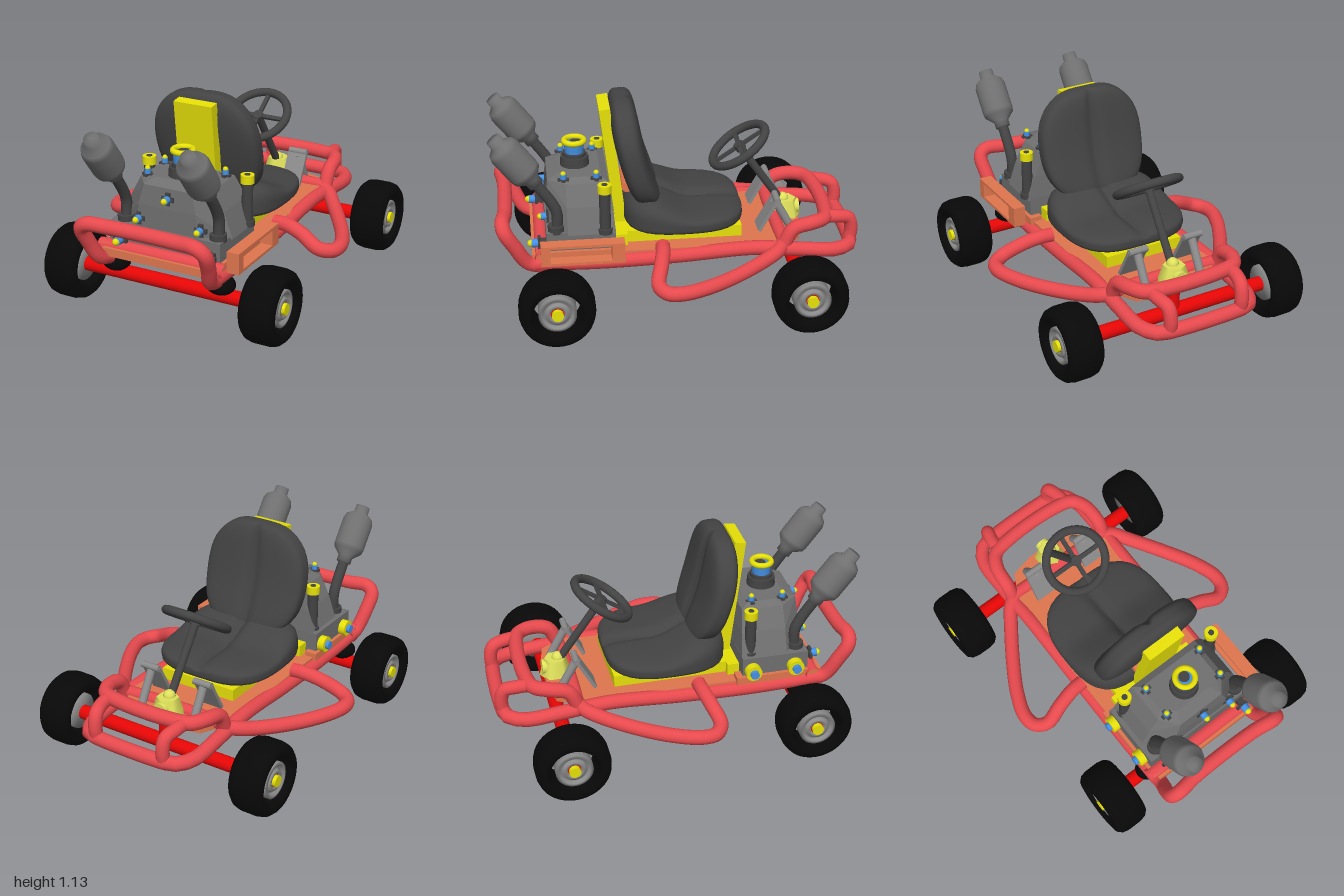
import * as THREE from 'three';
import { ConvexGeometry } from 'three/addons/geometries/ConvexGeometry.js';

const mat = (name, color) => {
  const m = new THREE.MeshStandardMaterial({ color });
  m.name = name;
  return m;
};
const V = (x, y, z) => new THREE.Vector3(x, y, z);

export function createModel() {
  const root = new THREE.Group();
  root.name = 'kart';
  const frameRed = mat('frame red', 0xe84a4e), axleRed = mat('axle red', 0xea0606);
  const black = mat('tyre black', 0x080808), grey = mat('engine grey', 0x707070);
  const dark = mat('dark grey', 0x434343), yellow = mat('yellow', 0xe8e208);
  const blue = mat('blue', 0x4592e8), orange = mat('deck orange', 0xe0764e);
  const pale = mat('pale yellow', 0xe0e25c), light = mat('light grey', 0x8a8a8a);

  const add = (name, geo, m, pos = [0, 0, 0], parent = root) => {
    const mesh = new THREE.Mesh(geo, m);
    mesh.name = name;
    mesh.position.set(...pos);
    parent.add(mesh);
    return mesh;
  };
  const box = (name, m, size, pos, parent) => add(name, new THREE.BoxGeometry(...size), m, pos, parent);
  const cyl = (name, m, r, h, pos, parent, r2 = r) =>
    add(name, new THREE.CylinderGeometry(r2, r, h, 20), m, pos, parent);
  // straight rod between two points
  const rod = (name, m, a, b, r) => {
    const d = b.clone().sub(a);
    const mesh = cyl(name, m, r, d.length(), a.clone().add(b).multiplyScalar(0.5).toArray());
    mesh.quaternion.setFromUnitVectors(V(0, 1, 0), d.normalize());
    return mesh;
  };
  // bent tube through points
  const tube = (name, m, pts, r = 0.04) => add(name, new THREE.TubeGeometry(
    new THREE.CatmullRomCurve3(pts.map(p => V(...p)), false, 'centripetal'), 72, r, 12), m);
  // half path along +x, mirrored into one continuous path
  const mirrored = half => [...half, ...half.slice().reverse().map(([x, y, z]) => [-x, y, z])];
  const flat = pts => pts.map(p => new THREE.Vector2(...p));
  const lathe = (pts, seg = 28) => new THREE.LatheGeometry(flat(pts), seg);

  // ---- wheels and axles
  const tyre = lathe([[0.13, -0.085], [0.15, -0.1], [0.175, -0.096], [0.194, -0.075], [0.202, -0.04],
    [0.202, 0.04], [0.194, 0.075], [0.175, 0.096], [0.15, 0.1], [0.13, 0.085], [0.122, 0], [0.13, -0.085]], 40);
  const hub = lathe([[0, -0.06], [0.1, -0.06], [0.1, 0.075], [0.082, 0.08], [0.076, 0.06],
    [0.062, 0.06], [0.056, 0.078], [0.04, 0.078], [0.036, 0.065], [0, 0.065]], 32);
  for (const [x, z, name] of [[0.62, -0.66, 'steeredWheelLeft'], [-0.62, -0.66, 'steeredWheelRight'],
    [0.6, 0.68, 'driveWheelLeft'], [-0.567, 0.68, 'driveWheelRight']]) {
    const w = new THREE.Group();
    w.name = name;
    w.position.set(x, 0.21, z);
    w.rotation.z = -Math.sign(x) * Math.PI / 2;
    root.add(w);
    add('tyre', tyre, black, [0, 0, 0], w);
    add('hub', hub, light, [0, 0, 0], w);
    cyl('hubNutBase', axleRed, 0.035, 0.01, [0, 0.064, 0], w);
    cyl('hubNut', yellow, 0.031, 0.03, [0, 0.077, 0], w);
  }
  rod('steeredAxle', axleRed, V(-0.6, 0.2, -0.65), V(0.6, 0.2, -0.65), 0.04);
  rod('driveAxle', axleRed, V(-0.55, 0.2, 0.67), V(0.58, 0.2, 0.67), 0.04);
  rod('axlePost', axleRed, V(0, 0.2, -0.65), V(0, 0.35, -0.65), 0.034);
  for (const s of [1, -1])
    add('axleBearing', new THREE.SphereGeometry(1, 20, 14), black, [s * 0.315, 0.265, 0.68]).scale.set(0.08, 0.055, 0.07);

  // ---- floor and engine tray
  const floor = new THREE.Shape(flat([[-0.33, -0.68], [0.33, -0.68], [0.33, 0.5], [0.24, 0.67], [0.1, 0.7],
    [-0.1, 0.7], [-0.24, 0.67], [-0.33, 0.5]]));
  add('floorPan', new THREE.ExtrudeGeometry(floor, { depth: 0.035, bevelEnabled: false }).rotateX(-Math.PI / 2),
    orange, [0, 0.34, 0]);
  box('trayEndBar', orange, [0.66, 0.045, 0.07], [0, 0.36, 0.76]);
  for (const s of [1, -1]) box('traySideBar', orange, [0.07, 0.06, 0.46], [s * 0.315, 0.37, 0.54]);
  const side = new THREE.Shape(flat([[0.305, 0.375], [0.75, 0.375], [0.75, 0.49], [0.305, 0.49]]));
  side.holes.push(new THREE.Path(flat([[0.375, 0.39], [0.375, 0.475], [0.7, 0.475], [0.7, 0.39]])));
  add('sideBoxFrame', new THREE.ExtrudeGeometry(side, { depth: 0.07, bevelEnabled: false }).rotateY(-Math.PI / 2),
    orange, [0.455, 0, 0]);

  // ---- tubular frame
  tube('mainLoop', frameRed, mirrored([[0.33, 0.33, 0.78], [0.33, 0.32, 0.4], [0.33, 0.33, 0],
    [0.33, 0.35, -0.4], [0.335, 0.33, -0.65], [0.325, 0.31, -0.86], [0.27, 0.31, -0.945], [0.2, 0.31, -0.96]]));
  tube('engineBumper', frameRed, mirrored([[0.32, 0.31, 0.74], [0.33, 0.34, 0.82], [0.355, 0.45, 0.885],
    [0.36, 0.54, 0.935], [0.32, 0.572, 0.945], [0.2, 0.572, 0.93]]));
  tube('engineCrossBar', frameRed, mirrored([[0.37, 0.37, 0.74], [0.2, 0.375, 0.74]]));
  tube('pedalCrossBar', frameRed, mirrored([[0.34, 0.37, -0.57], [0.15, 0.375, -0.565]]), 0.036);
  tube('pedalUpperHoop', frameRed, mirrored([[0.325, 0.36, -0.57], [0.325, 0.45, -0.62],
    [0.315, 0.475, -0.72], [0.27, 0.475, -0.795], [0.14, 0.475, -0.825]]));
  for (const s of [1, -1]) {
    const side = (name, pts, r) => tube(name, frameRed, pts.map(([x, y, z]) => [s * x, y, z]), r);
    side('bumperLink', [[0.24, 0.47, -0.8], [0.235, 0.465, -0.88], [0.22, 0.445, -0.945],
      [0.215, 0.38, -0.965], [0.215, 0.3, -0.955]], 0.037);
    side('sideBumper', [[0.31, 0.36, -0.57], [0.37, 0.345, -0.53], [0.43, 0.325, -0.45],
      [0.55, 0.305, -0.27], [0.645, 0.3, -0.1], [0.688, 0.3, 0.03], [0.675, 0.3, 0.105], [0.615, 0.315, 0.145],
      [0.5, 0.37, 0.12], [0.4, 0.395, 0.1], [0.33, 0.395, 0.095]]);
  }

  // ---- seat: rounded blocks shaped by a rule
  const pad = (name, n, rule) => {
    const g = new THREE.SphereGeometry(1, 48, 32), p = g.attributes.position;
    for (let i = 0; i < p.count; i++) {
      const v = V(0, 0, 0).fromBufferAttribute(p, i);
      v.divideScalar((Math.abs(v.x) ** n + Math.abs(v.y) ** n + Math.abs(v.z) ** n) ** (1 / n));
      p.setXYZ(i, ...rule(v.x, v.y, v.z));
    }
    g.computeVertexNormals();
    return add(name, g, dark);
  };
  const crease = x => 0.035 * Math.exp(-((x / 0.09) ** 2));
  pad('seatCushion', 3.8, (x, y, z) => {
    const rise = 0.1 * THREE.MathUtils.smoothstep(z, -0.2, 0.7);
    return [x * (0.345 - 0.05 * Math.max(0, -z) ** 2 - 0.03 * Math.max(0, z) ** 2),
      0.49 + y * 0.056 + Math.max(0, y) * (rise - crease(x)), -0.042 + z * 0.328];
  });
  pad('seatBackrest', 3.8, (x, y, z) => [
    x * (0.31 - 0.09 * Math.max(0, y) ** 2 - 0.04 * Math.min(0, y) ** 2),
    0.85 + y * 0.293,
    0.238 + 0.07 * y - 0.028 * y * y + z * (0.078 + 0.016 * Math.min(0, y) ** 2) + Math.max(0, -z) * crease(x)]);
  box('seatBase', yellow, [0.46, 0.065, 0.65], [0, 0.408, -0.025]);
  box('seatBaseRear', yellow, [0.53, 0.065, 0.065], [0, 0.408, 0.31]);
  box('seatBoard', yellow, [0.225, 0.73, 0.06], [0, 0.745, 0.335]).rotation.x = 0.115;
  rod('seatHinge', orange, V(-0.11, 0.645, 0.265), V(0.11, 0.645, 0.265), 0.028);

  // ---- engine block
  box('engineBase', grey, [0.66, 0.12, 0.37], [0, 0.445, 0.53]);
  const block = [];
  for (const [y, w, n, z0, z1, z2] of [[0.49, 0.325, 0.18, 0.345, 0.6, 0.705],
    [0.63, 0.275, 0.17, 0.355, 0.6, 0.705], [0.74, 0.215, 0.14, 0.37, 0.6, 0.695], [0.765, 0.18, 0.11, 0.41, 0.57, 0.63]])
    for (const s of [1, -1])
      block.push(V(0.015 + s * w, y, z0), V(0.015 + s * w, y, z1), V(0.015 + s * n, y, z2));
  add('engineBlock', new ConvexGeometry(block), grey);

  // ---- air intake
  const cx = 0.02, cz = 0.54;
  cyl('intakeBase', dark, 0.08, 0.06, [cx, 0.785, cz], root, 0.075);
  cyl('intakeCollar', dark, 0.062, 0.03, [cx, 0.82, cz]);
  cyl('intakeNeck', blue, 0.05, 0.065, [cx, 0.86, cz], root, 0.055);
  cyl('intakeMouth', dark, 0.03, 0.006, [cx, 0.895, cz - 0.008]);
  add('intakeRing', new THREE.TorusGeometry(0.053, 0.016, 10, 28).rotateX(Math.PI / 2), yellow, [cx, 0.9, cz]);

  // ---- exhausts and capped columns
  const muffler = lathe([[0, 0], [0.042, 0], [0.042, 0.035], [0.083, 0.075], [0.088, 0.1], [0.088, 0.25],
    [0.078, 0.28], [0.042, 0.305], [0.04, 0.345], [0, 0.345]], 20);
  for (const x of [-0.26, 0.29]) {
    tube('exhaustPipe', dark, [[x, 0.48, 0.655], [x, 0.61, 0.655], [x, 0.67, 0.68], [x, 0.8, 0.77]], 0.03);
    cyl('exhaustFlange', dark, 0.045, 0.04, [x, 0.515, 0.66]);
    add('exhaustMuffler', muffler, grey, [x, 0.78, 0.755]).rotation.x = 0.66;
  }
  for (const x of [-0.27, 0.32]) {
    cyl('column', dark, 0.03, 0.25, [x, 0.61, 0.4]);
    cyl('columnFoot', dark, 0.04, 0.03, [x, 0.505, 0.4]);
    cyl('columnCap', yellow, 0.037, 0.045, [x, 0.75, 0.4]);
    cyl('columnCapTop', dark, 0.016, 0.01, [x, 0.77, 0.4]);
  }

  // ---- bolts: dark cross, blue shank, yellow tip, pointing along local y
  const bolt = (x, y, z, axis, k = 1) => {
    const b = new THREE.Group();
    b.name = 'bolt';
    b.position.set(x, y, z);
    b.quaternion.setFromUnitVectors(V(0, 1, 0), axis);
    b.scale.setScalar(k);
    root.add(b);
    box('boltCross', dark, [0.07, 0.014, 0.026], [0, 0.007, 0], b);
    box('boltCross', dark, [0.026, 0.014, 0.07], [0, 0.007, 0], b);
    cyl('boltShank', blue, 0.02, 0.03, [0, 0.028, 0], b);
    add('boltTip', new THREE.SphereGeometry(0.017, 12, 8), yellow, [0, 0.046, 0], b);
  };
  for (const x of [-0.153, 0.21]) {
    for (const z of [0.435, 0.61]) bolt(x, 0.755, z, V(0, 1, 0), 0.85);
    bolt(x, 0.55, 0.695, V(0, 0, 1));
  }
  bolt(0.02, 0.685, 0.695, V(0, 0, 1));
  for (const x of [-0.24, 0.285]) {
    box('boltMount', dark, [0.04, 0.04, 0.04], [x, 0.43, 0.73]);
    bolt(x, 0.43, 0.745, V(0, 0, 1), 1.15);
  }
  for (const z of [0.4, 0.64]) {
    rod('sidePlug', yellow, V(-0.32, 0.43, z), V(-0.37, 0.43, z), 0.045);
    rod('sidePlugCore', blue, V(-0.36, 0.43, z), V(-0.39, 0.43, z), 0.024);
  }

  // ---- steering
  const steer = new THREE.Group();
  steer.name = 'steeringWheel';
  steer.position.set(-0.01, 0.81, -0.365);
  steer.rotation.x = 0.59;
  root.add(steer);
  add('rim', new THREE.TorusGeometry(0.17, 0.024, 12, 40).rotateX(Math.PI / 2), dark, [0, 0, 0], steer);
  for (const a of [0, Math.PI / 2])
    box('spokes', dark, [0.33, 0.016, 0.024], [0, -0.005, 0], steer).rotation.y = a;
  cyl('steeringBoss', dark, 0.03, 0.04, [0, -0.01, 0], steer);
  rod('steeringColumn', dark, V(-0.01, 0.8, -0.37), V(-0.01, 0.46, -0.61), 0.022);
  add('steeringGearbox', new THREE.CylinderGeometry(0.06, 0.09, 0.1, 6), pale, [-0.01, 0.42, -0.635]);
  add('gearboxTop', new THREE.SphereGeometry(0.034, 12, 8), pale, [-0.01, 0.47, -0.62]);
  rod('gearboxNose', pale, V(-0.01, 0.42, -0.63), V(-0.01, 0.42, -0.71), 0.04);

  // ---- pedals
  for (const x of [-0.175, 0.16]) {
    box('pedalPlate', light, [0.115, 0.2, 0.018], [x, 0.475, -0.5]).rotation.x = -0.5;
    rod('pedalArm', light, V(x, 0.55, -0.54), V(x, 0.37, -0.64), 0.023);
    rod('pedalPivot', light, V(x - 0.055, 0.56, -0.55), V(x + 0.055, 0.56, -0.55), 0.018);
  }
  return root;
}
